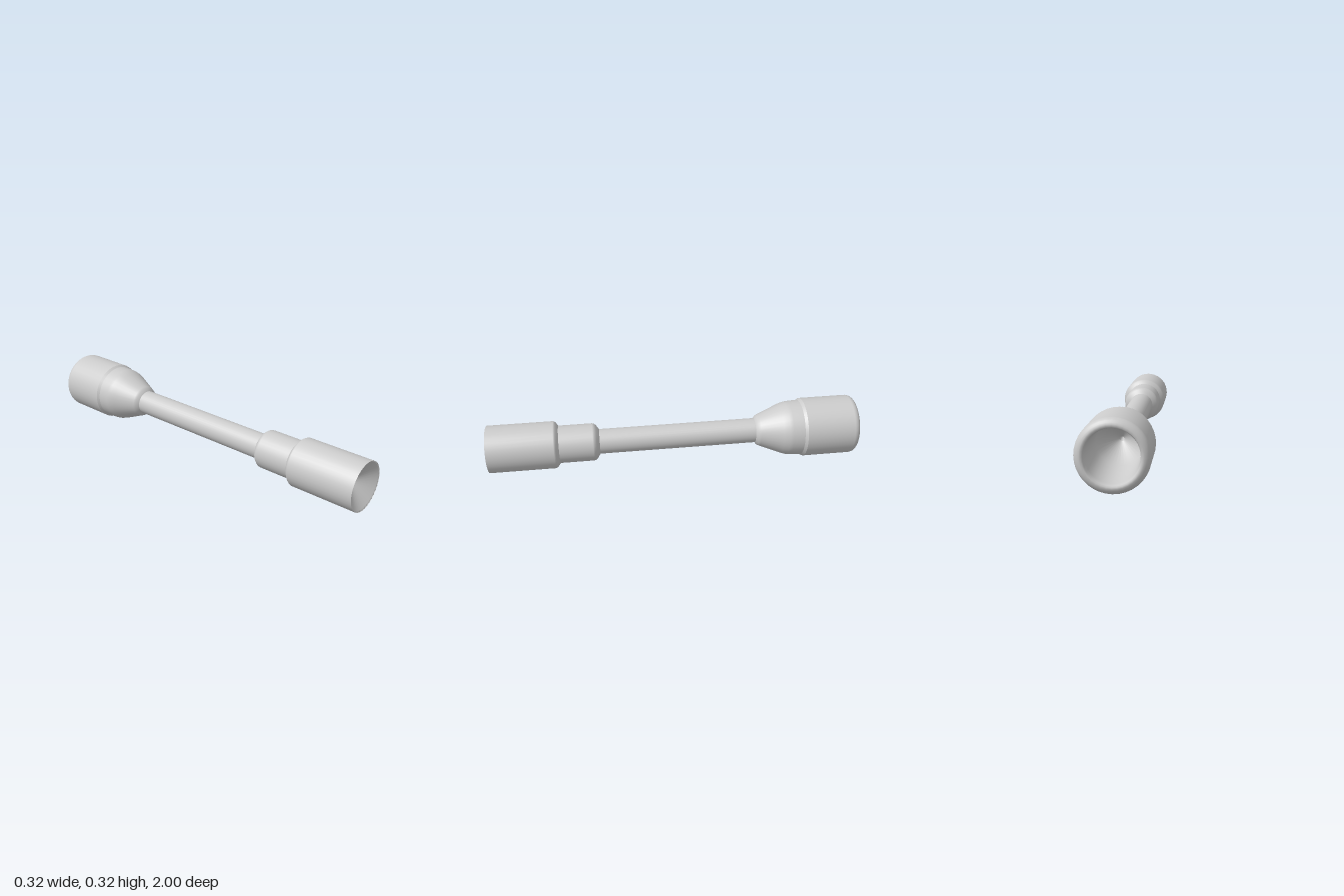
import * as THREE from 'three';

const SIDES = 36;
const AXIS_Y = 0.161;
const BORE = 0.011;

export function createModel() {
  const model = new THREE.Group();
  model.name = 'socketWrench';
  const grey = new THREE.MeshStandardMaterial({ color: 0xcccccc });

  // Turns a profile of [radius, z] points about the long axis.
  // Outer walls run towards +z, inner walls run towards -z.
  function turned(name, profile) {
    const points = profile.map(([r, z]) => new THREE.Vector2(r, z));
    const geometry = new THREE.LatheGeometry(points, SIDES);
    geometry.rotateX(Math.PI / 2);
    const mesh = new THREE.Mesh(geometry, grey);
    mesh.name = name;
    mesh.position.y = AXIS_Y;
    model.add(mesh);
  }

  // Large rear socket: deep cup, rounded rim, outer wall
  const rim = [];
  for (let i = 0; i <= 6; i++) {
    const a = (i / 6) * Math.PI / 2;
    rim.push([0.126 + 0.035 * Math.sin(a), -0.965 - 0.035 * Math.cos(a)]);
  }
  turned('rearSocket', [
    [BORE, -0.62], [0.108, -0.7], [0.116, -0.97], [0.12, -0.994],
    ...rim, [0.161, -0.705],
  ]);
  turned('rearSocketStep', [[0.161, -0.705], [0.152, -0.69]]);

  // Tapered neck between the rear socket and the shaft
  turned('neck', [
    [0.152, -0.69], [0.149, -0.63], [0.146, -0.61], [0.136, -0.58],
    [0.088, -0.465], [0.082, -0.452], [0.067, -0.44],
  ]);

  // Slim shaft
  turned('shaft', [[0.067, -0.44], [0.067, 0.41]]);

  // Sleeve with a chamfered shoulder
  turned('sleeve', [
    [0.067, 0.41], [0.073, 0.414], [0.09, 0.425], [0.099, 0.436], [0.101, 0.445],
    [0.101, 0.63],
  ]);

  // Front socket: chamfered shoulder, outer wall, thin lip and shallow funnel
  turned('frontSocket', [
    [0.101, 0.625], [0.11, 0.632], [0.121, 0.64], [0.127, 0.65], [0.127, 1],
    [0.122, 0.995], [0.013, 0.92], [BORE, 0.915],
  ]);

  // Narrow bore running the whole length
  turned('bore', [[BORE, 0.915], [BORE, -0.62]]);

  return model;
}
